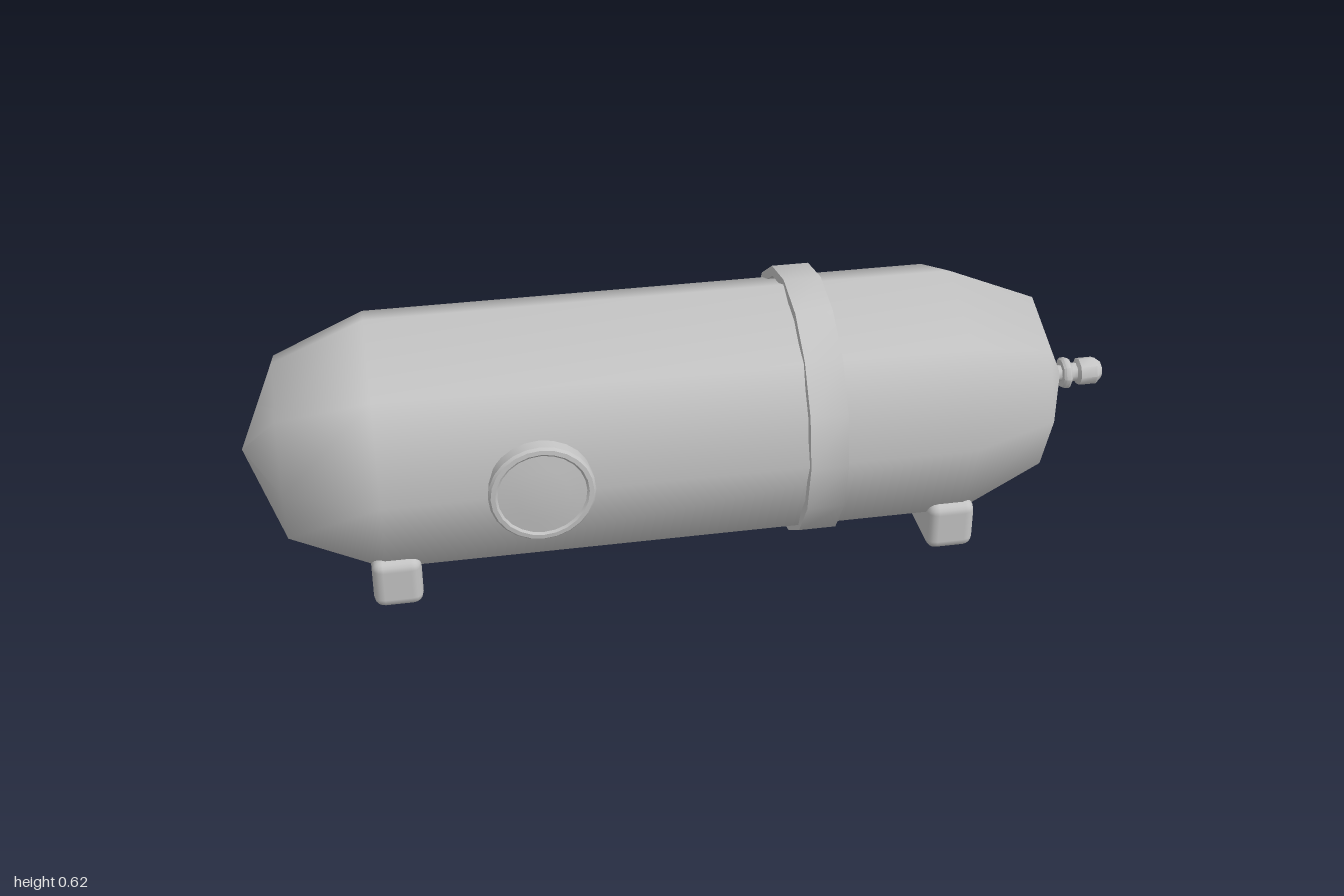
import * as THREE from 'three';
import { toCreasedNormals } from 'three/addons/utils/BufferGeometryUtils.js';
import { RoundedBoxGeometry } from 'three/addons/geometries/RoundedBoxGeometry.js';

const AXIS_Y = 0.31;

export function createModel() {
  const tank = new THREE.Group();
  tank.name = 'gasTank';
  const greyMetal = new THREE.MeshStandardMaterial({ color: 0xc4c4c4 });
  greyMetal.name = 'greyMetal';

  function add(name, geometry, x, y, z) {
    const mesh = new THREE.Mesh(geometry, greyMetal);
    mesh.name = name;
    mesh.position.set(x, y, z);
    tank.add(mesh);
    return mesh;
  }

  // Profile is a list of [radius, height] pairs, running bottom to top outside
  const lathe = (profile, sides) =>
    new THREE.LatheGeometry(profile.map(([r, h]) => new THREE.Vector2(r, h)), sides);
  const alongX = (geometry) => geometry.rotateZ(-Math.PI / 2);

  // Eight-sided smooth capsule shell with stepped domes
  add('shell', alongX(lathe([
    [0, -1], [0.211, -0.915], [0.298, -0.71],
    [0.298, 0.61], [0.211, 0.815], [0, 0.903],
  ], 8)), 0, AXIS_Y, 0);

  // Sixteen-sided strap around the shell
  const strap = lathe([
    [0.287, 0.225], [0.31, 0.225], [0.31, 0.31], [0.287, 0.31], [0.287, 0.225],
  ], 16);
  add('strap', toCreasedNormals(alongX(strap), 0.6), 0, AXIS_Y, 0);

  // Valve: flange, neck and chamfered cap
  const valve = lathe([
    [0, 0.89], [0.02, 0.89], [0.02, 0.903], [0.034, 0.903], [0.038, 0.908],
    [0.038, 0.918], [0.034, 0.923], [0.023, 0.926], [0.023, 0.94],
    [0.033, 0.946], [0.033, 0.985], [0.021, 1], [0, 1],
  ], 8);
  add('valve', toCreasedNormals(alongX(valve), 0.85), 0, AXIS_Y, 0);

  // Round inspection cover on the front
  const cover = lathe([
    [0.117, 0.27], [0.117, 0.298], [0.112, 0.304], [0.102, 0.305],
    [0.097, 0.301], [0.06, 0.305], [0, 0.309],
  ], 24).rotateX(Math.PI / 2);
  add('inspectionCover', toCreasedNormals(cover, 0.6), -0.365, AXIS_Y, 0);

  // Rounded saddle feet
  for (const [name, x] of [['rightFoot', -0.686], ['leftFoot', 0.583]]) {
    add(name, new RoundedBoxGeometry(0.11, 0.12, 0.475, 2, 0.024), x, 0.065, 0);
  }

  return tank;
}
